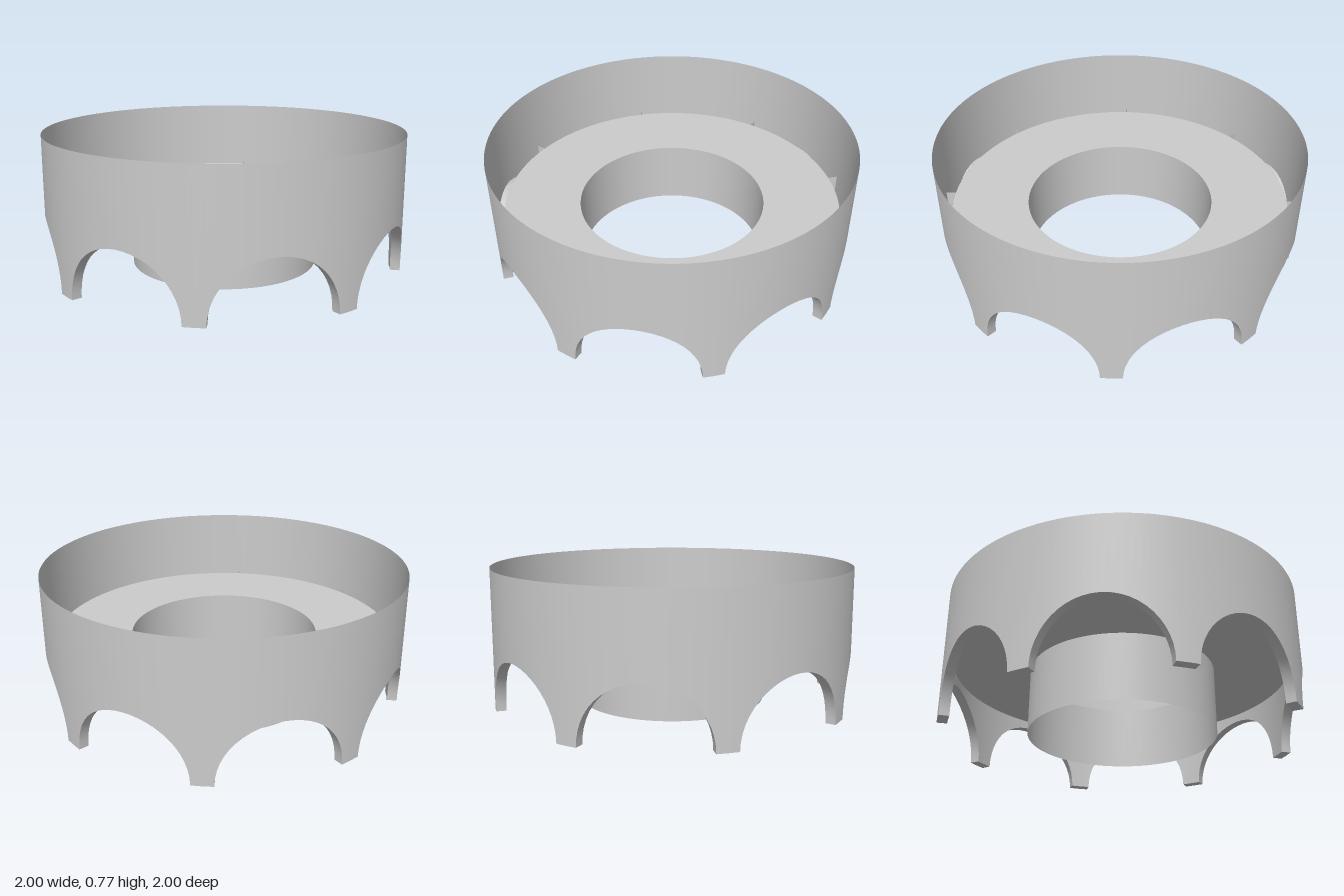
import * as THREE from 'three';

const LEGS = 8, STEP = Math.PI * 2 / LEGS;
const R_OUT = 1, R_IN = 0.945, R_HOLE = 0.52;
const TOP = 0.77, DECK = 0.38, TUBE_BOTTOM = 0.01;
const ARCH = 0.335, ARCH_SEGS = 24;

const material = new THREE.MeshStandardMaterial({ color: 0xcccccc, side: THREE.DoubleSide });

// point on a cylinder; angle 0 faces the front
const polar = (r, angle, y) => [r * Math.sin(angle), y, r * Math.cos(angle)];

// surface between two matching rows of points
function loft(a, b) {
  const n = a.length, index = [];
  for (let i = 0; i < n - 1; i++) index.push(i, i + 1, n + i + 1, i, n + i + 1, n + i);
  const g = new THREE.BufferGeometry();
  g.setAttribute('position', new THREE.Float32BufferAttribute([...a, ...b].flat(), 3));
  g.setIndex(index);
  g.computeVertexNormals();
  return g;
}

// wall normals point straight away from (or toward) the axis
function radialNormals(g, sign) {
  const p = g.attributes.position, n = g.attributes.normal;
  for (let i = 0; i < p.count; i++) {
    const l = Math.hypot(p.getX(i), p.getZ(i)) * sign;
    n.setXYZ(i, p.getX(i) / l, 0, p.getZ(i) / l);
  }
  return g;
}

// lower edge of one arch as [angle, height], running from leg to leg
function archEdge(k) {
  const pts = [];
  for (let i = 0; i <= ARCH_SEGS; i++) {
    const t = Math.PI * i / ARCH_SEGS;
    pts.push([(k + 0.5) * STEP - ARCH * Math.cos(t), ARCH * Math.sin(t)]);
  }
  return pts;
}

export function createModel() {
  const model = new THREE.Group();
  const add = (name, geometry) => {
    const mesh = new THREE.Mesh(geometry, material);
    mesh.name = name;
    model.add(mesh);
    return mesh;
  };

  // scalloped lower edge all the way round
  const edge = [];
  for (let k = 0; k < LEGS; k++) edge.push([k * STEP, 0], ...archEdge(k));
  edge.push([LEGS * STEP, 0]);
  const row = (pts, r, y) => pts.map(([a, h]) => polar(r, a, y ?? h));

  // outer wall, and the inner skin that stops at the deck
  add('outerWall', radialNormals(loft(row(edge, R_OUT), row(edge, R_OUT, TOP)), 1));
  add('innerSkin', radialNormals(loft(row(edge, R_IN, DECK), row(edge, R_IN)), -1));

  // arch undersides, feet and the web inside each leg
  const half = STEP / 2 - ARCH;
  for (let k = 0; k < LEGS; k++) {
    const arch = archEdge(k), a = k * STEP;
    add('archUnderside', loft(row(arch, R_IN), row(arch, R_OUT)));
    const foot = [[a - half, 0], [a, 0], [a + half, 0]];
    add('foot', loft(row(foot, R_IN), row(foot, R_OUT)));
    add('legWeb', loft([polar(R_IN, a, 0), polar(R_OUT, a, 0)],
      [polar(R_IN, a, DECK), polar(R_OUT, a, DECK)]));
  }

  // ring-shaped deck
  add('deck', new THREE.RingGeometry(R_HOLE, R_IN, 96).rotateX(-Math.PI / 2).translate(0, DECK, 0));

  // open tube hanging from the hole in the deck
  const h = DECK - TUBE_BOTTOM;
  add('centreTube', new THREE.CylinderGeometry(R_HOLE, R_HOLE, h, 96, 1, true)
    .translate(0, TUBE_BOTTOM + h / 2, 0));

  return model;
}
